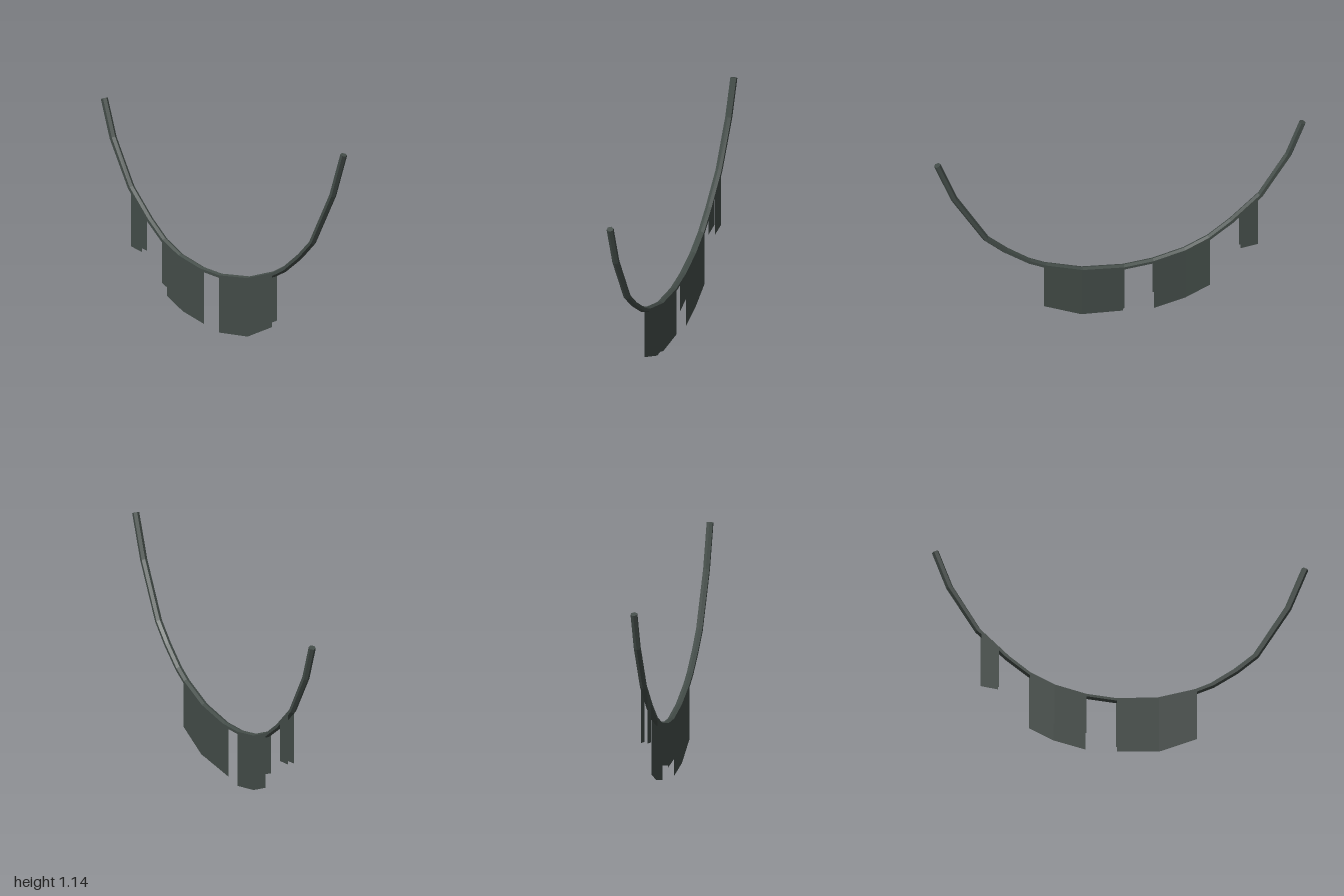
import * as THREE from 'three';

// Sagging line: x, y, z, in-plane radius
const LINE = [
  [-0.98, 1.083, 0.005, 0.019], [-0.905, 0.885, 0.007, 0.019], [-0.755, 0.645, 0.008, 0.017],
  [-0.6, 0.5, 0.009, 0.016], [-0.48, 0.41, 0.009, 0.015], [-0.35, 0.35, 0.008, 0.015],
  [-0.18, 0.311, 0.004, 0.014], [-0.02, 0.3, 0, 0.014], [0.205, 0.325, -0.006, 0.014],
  [0.405, 0.388, -0.007, 0.015], [0.49, 0.43, -0.007, 0.016], [0.615, 0.52, -0.006, 0.017],
  [0.72, 0.615, -0.005, 0.017], [0.89, 0.9, -0.003, 0.018], [0.98, 1.133, -0.003, 0.018],
];
const HALF_DEPTH = 0.017;

function geometryFrom(positions) {
  const g = new THREE.BufferGeometry();
  g.setAttribute('position', new THREE.Float32BufferAttribute(positions, 3));
  g.computeVertexNormals();
  return g;
}

// Point on the line at a given x
function lineAt(x) {
  const i = Math.max(1, LINE.findIndex((p) => p[0] >= x));
  const a = LINE[i - 1], b = LINE[i];
  const t = (x - a[0]) / (b[0] - a[0]);
  return a.map((v, k) => v + (b[k] - v) * t);
}

// Six-sided rope with capped ends, one ring per line point
function ropeGeometry() {
  const rings = LINE.map(([x, y, z, r], i) => {
    const a = LINE[Math.max(0, i - 1)], b = LINE[Math.min(LINE.length - 1, i + 1)];
    const d = new THREE.Vector2(b[0] - a[0], b[1] - a[1]).normalize();
    return Array.from({ length: 6 }, (_, k) => {
      const t = (k * Math.PI) / 3;
      const u = Math.cos(t) * r;
      return [x - d.y * u, y + d.x * u, z + Math.sin(t) * HALF_DEPTH * 1.12];
    });
  });
  const out = [];
  const tri = (...pts) => pts.forEach((p) => out.push(...p));
  for (let i = 0; i < rings.length - 1; i++) {
    for (let k = 0; k < 6; k++) {
      const n = (k + 1) % 6;
      const a = rings[i][k], b = rings[i][n], c = rings[i + 1][n], d = rings[i + 1][k];
      tri(a, b, c);
      tri(a, c, d);
    }
  }
  const first = rings[0], last = rings[rings.length - 1];
  for (let k = 1; k < 5; k++) {
    tri(first[0], first[k + 1], first[k]);
    tri(last[0], last[k], last[k + 1]);
  }
  return geometryFrom(out);
}

// Hanging sheet on one side of the rope; hem is a list of [x, bottom y]
function sheetGeometry(hem, side) {
  const cols = hem.map(([x, bottom]) => {
    const [, y, z] = lineAt(x);
    const zs = z + side * HALF_DEPTH;
    return { top: [x, y, zs], low: [x, bottom, zs] };
  });
  if (side < 0) cols.reverse();
  const out = [];
  for (let i = 0; i < cols.length - 1; i++) {
    const a = cols[i], b = cols[i + 1];
    [a.low, b.low, b.top, a.low, b.top, a.top].forEach((p) => out.push(...p));
  }
  return geometryFrom(out);
}

export function createModel() {
  const group = new THREE.Group();
  const cloth = new THREE.MeshStandardMaterial({ color: 0x434c48 });
  cloth.name = 'darkGreyGreen';
  cloth.side = THREE.DoubleSide;
  cloth.flatShading = true;

  const add = (name, geometry) => {
    const mesh = new THREE.Mesh(geometry, cloth);
    mesh.name = name;
    group.add(mesh);
  };

  add('rope', ropeGeometry());

  // Each cloth is folded over the rope: a front and a back sheet
  const cloths = [
    {
      name: 'smallCloth',
      front: [[-0.737, 0.335], [-0.645, 0.32]],
      back: [[-0.737, 0.335], [-0.645, 0.322]],
    },
    {
      name: 'middleCloth',
      front: [[-0.48, 0.185], [-0.35, 0.13], [-0.18, 0.09]],
      back: [[-0.48, 0.11], [-0.35, 0.05], [-0.18, 0.012]],
    },
    {
      name: 'largeCloth',
      front: [[-0.02, 0], [0.205, 0.018], [0.405, 0.105]],
      back: [[-0.02, 0.04], [0.205, 0.05], [0.405, 0.135]],
    },
  ];
  for (const { name, front, back } of cloths) {
    add(name + 'Front', sheetGeometry(front, 1));
    add(name + 'Back', sheetGeometry(back, -1));
  }
  return group;
}
